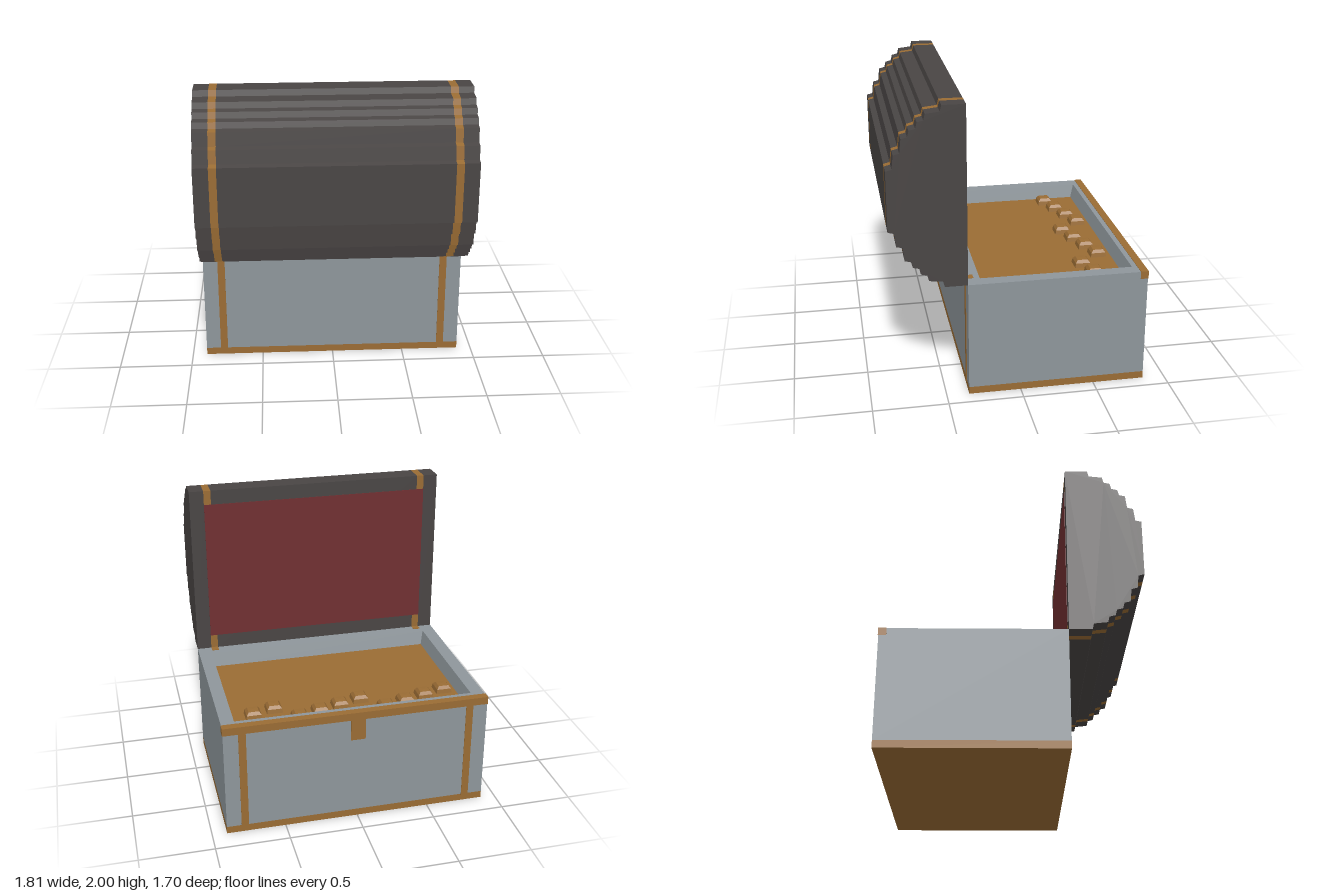
import * as THREE from 'three';

const mat = (name, color) => {
  const m = new THREE.MeshStandardMaterial({ color });
  m.name = name;
  return m;
};

export function createModel() {
  const chest = new THREE.Group();
  chest.name = 'treasureChest';
  const grey = mat('greyBody', 0x8e969b);
  const gold = mat('goldTrim', 0x9a6c34);
  const dark = mat('darkLid', 0x494544);
  const red = mat('redLining', 0x702f31);

  const add = (name, geometry, material) => {
    const mesh = new THREE.Mesh(geometry, material);
    mesh.name = name;
    chest.add(mesh);
    return mesh;
  };
  // box given by its minimum and maximum on each axis
  const box = (name, material, [x0, x1], [y0, y1], [z0, z1]) => {
    const g = new THREE.BoxGeometry(x1 - x0, y1 - y0, z1 - z0);
    g.translate((x0 + x1) / 2, (y0 + y1) / 2, (z0 + z1) / 2);
    return add(name, g, material);
  };
  // walls joining successive rectangles [half width, y, z min, z max]
  const loft = (rings) => {
    const pos = [];
    const corners = rings.map(([w, y, a, b]) => [[-w, y, b], [w, y, b], [w, y, a], [-w, y, a]]);
    for (let i = 0; i < rings.length - 1; i++) {
      for (let j = 0; j < 4; j++) {
        const k = (j + 1) % 4;
        const a = corners[i][j], b = corners[i][k], c = corners[i + 1][k], d = corners[i + 1][j];
        pos.push(...a, ...b, ...c, ...a, ...c, ...d);
      }
    }
    const g = new THREE.BufferGeometry();
    g.setAttribute('position', new THREE.Float32BufferAttribute(pos, 3));
    g.computeVertexNormals();
    return g;
  };

  // body: outer walls, flat rim and sloping inner walls
  add('body', loft([
    [0.9, 0.05, -0.85, 0.35],
    [0.9, 0.8, -0.85, 0.35],
    [0.81, 0.8, -0.765, 0.26],
    [0.79, 0.7, -0.74, 0.235],
  ]), grey);
  box('base', gold, [-0.9, 0.9], [0, 0.05], [-0.85, 0.35]);
  box('treasureFloor', gold, [-0.8, 0.8], [0.66, 0.7], [-0.76, 0.25]);

  // trim along the opening edge, with its clasp
  const t = 0.003;
  box('edgeTrim', gold, [-0.9 - t, 0.9 + t], [0.75, 0.8 + t], [-0.85 - t, -0.8]);
  box('clasp', gold, [-0.05, 0.05], [0.6, 0.76], [-0.85 - t, -0.84]);

  // straps on the body
  for (const s of [-1, 1]) {
    const x = [s * 0.775 - 0.025, s * 0.775 + 0.025];
    box('hingeSideStrap', gold, x, [0.04, 0.8], [0.345, 0.35 + t]);
    box('claspSideStrap', gold, x, [0.04, 0.76], [-0.85 - t, -0.845]);
    box('rimStrap', gold, x, [0.795, 0.8 + t], [0.3, 0.35 + t]);
  }

  // loose coins on the treasure floor: small tapered blocks
  const rows = [-0.5, -0.55, -0.6, -0.65];
  for (let i = 0; i < 10; i++) {
    const g = loft([[0.055, 0, -0.055, 0.055], [0.05, 0.03, -0.05, 0.05],
      [0.035, 0.05, -0.035, 0.035], [0, 0.052, 0, 0]]);
    add('coin', g, gold).position.set(-0.7 + i * 0.15, 0.7, rows[i % 4]);
  }

  // stepped half-round lid: [depth of step, height above the lid's middle]
  const steps = [[0.85, 0.2], [0.8, 0.3], [0.75, 0.4], [0.7, 0.45], [0.65, 0.5], [0.6, 0.55], [0.5, 0.6]];
  const upper = [];
  steps.forEach(([z, h], i) => {
    if (i > 0) upper.push([z + 0.01, steps[i - 1][1] + 0.01]);
    upper.push([z, h]);
  });
  const profile = [
    [0.35, -0.6],
    ...upper.slice().reverse().map(([z, h]) => [z, -h]),
    ...upper,
    [0.35, 0.6],
  ];
  const lidShape = new THREE.Shape(profile.map(([z, h]) => new THREE.Vector2(-z, 1.4 + h)));
  const cuts = [-0.9, -0.8, -0.75, 0.75, 0.8, 0.9];
  for (let i = 0; i < 5; i++) {
    const g = new THREE.ExtrudeGeometry(lidShape, { depth: cuts[i + 1] - cuts[i], bevelEnabled: false });
    g.rotateY(Math.PI / 2);
    g.translate(cuts[i], 0, 0);
    add(i % 2 ? 'lidStrap' : 'lidSection', g, i % 2 ? gold : dark);
  }
  box('lidLining', red, [-0.8, 0.8], [0.9, 1.9], [0.35 - t, 0.355]);

  return chest;
}
